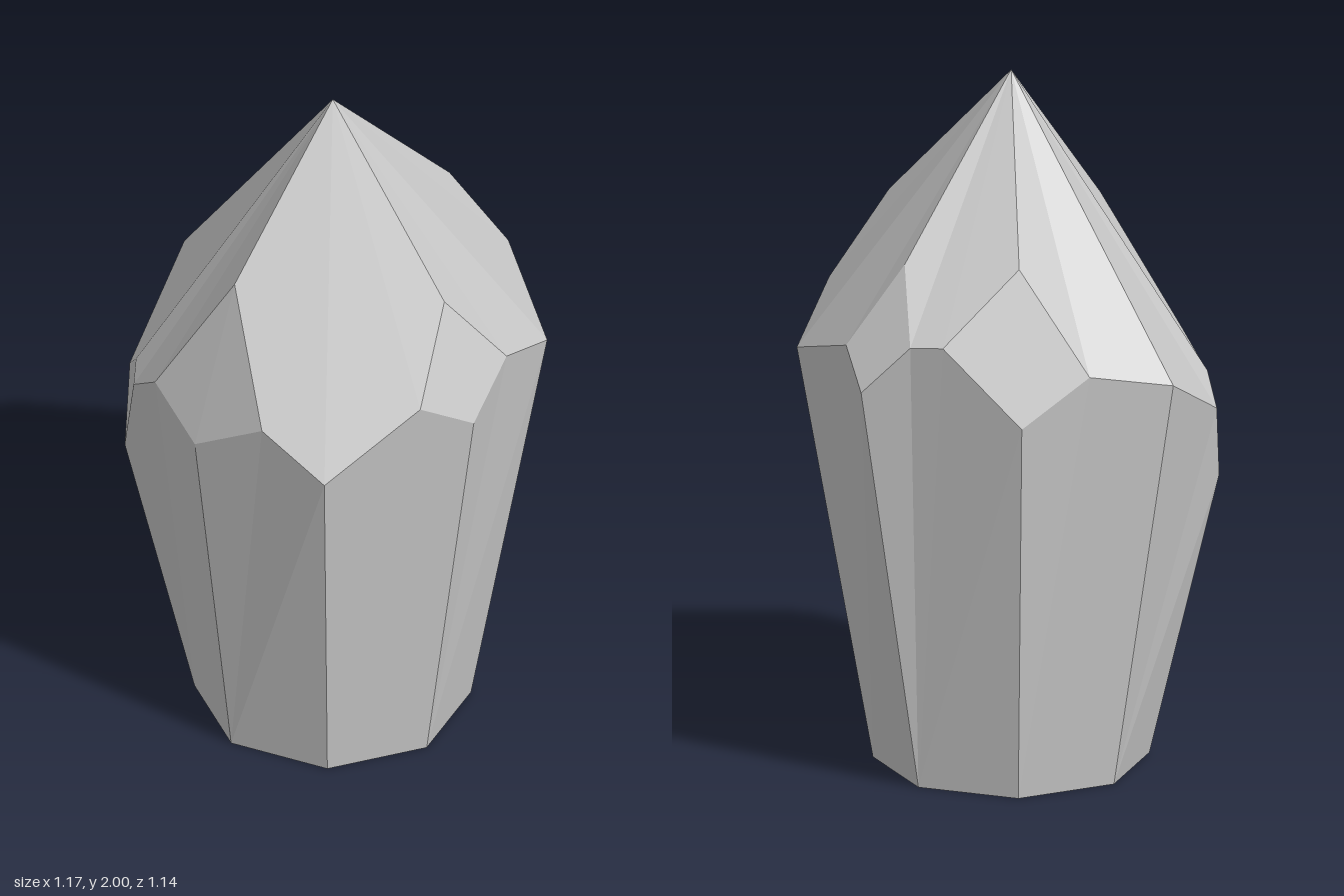
import * as THREE from 'three';

const CX = 0.01, CZ = 0.05, BASE_RADIUS = 0.383;
const APEX = [CX, 2, CZ];

// Eight ridges, from +x round towards +z. A plain ridge has one shoulder corner;
// a chipped one has a top, bottom, and a corner towards each neighbouring ridge.
const plain = (p) => ({ top: p, bottom: p, prev: p, next: p });
const chip = (top, bottom, prev, next) => ({ top, bottom, prev, next });
const RIDGES = [
  chip([0.465, 1.55, 0.05], [0.585, 1.2, 0.05], [0.535, 1.32, -0.12], [0.54, 1.3, 0.21]),
  plain([0.43, 1.11, 0.47]),
  chip([0.01, 1.55, 0.42], [0.01, 1.08, 0.57], [0.235, 1.22, 0.525], [-0.19, 1.17, 0.535]),
  chip([-0.37, 1.11, 0.44], [-0.4, 0.81, 0.455], [-0.315, 1.08, 0.5], [-0.45, 1.03, 0.39]),
  plain([-0.59, 1.21, 0.055]),
  chip([-0.295, 1.56, -0.255], [-0.395, 1.14, -0.355], [-0.49, 1.27, -0.18], [-0.2, 1.36, -0.465]),
  chip([0.01, 1.54, -0.39], [0.01, 1.21, -0.57], [-0.11, 1.35, -0.5], [0.12, 1.31, -0.51]),
  plain([0.43, 1.2, -0.37]),
];

const foot = (i) => {
  const a = (i * Math.PI) / 4;
  return [CX + BASE_RADIUS * Math.cos(a), 0, CZ + BASE_RADIUS * Math.sin(a)];
};

// Fan-triangulates polygons, dropping repeated corners
function facetMesh(name, polygons) {
  const positions = [];
  for (const polygon of polygons) {
    const p = polygon.filter((v, i) => v !== polygon[(i + 1) % polygon.length]);
    for (let i = 1; i < p.length - 1; i++) positions.push(...p[0], ...p[i], ...p[i + 1]);
  }
  const geometry = new THREE.BufferGeometry();
  geometry.setAttribute('position', new THREE.Float32BufferAttribute(positions, 3));
  geometry.computeVertexNormals();
  const material = new THREE.MeshStandardMaterial({ color: 0xcccccc, flatShading: true });
  const mesh = new THREE.Mesh(geometry, material);
  mesh.name = name;
  return mesh;
}

export function createModel() {
  const shaft = [], crown = [], chips = [], base = [];
  RIDGES.forEach((r, i) => {
    const n = RIDGES[(i + 1) % 8];
    // tapering side and pointed crown facet between this ridge and the next
    shaft.push([foot(i + 1), foot(i), r.bottom, r.next, n.prev, n.bottom]);
    crown.push([APEX, n.top, n.prev, r.next, r.top]);
    // cut corner at the shoulder
    if (r.top !== r.bottom) chips.push([r.top, r.next, r.bottom, r.prev]);
    base.push(foot(i));
  });

  const crystal = new THREE.Group();
  crystal.name = 'crystal';
  crystal.add(
    facetMesh('shaft', shaft),
    facetMesh('crown', crown),
    facetMesh('shoulderChips', chips),
    facetMesh('base', [base]),
  );
  return crystal;
}
